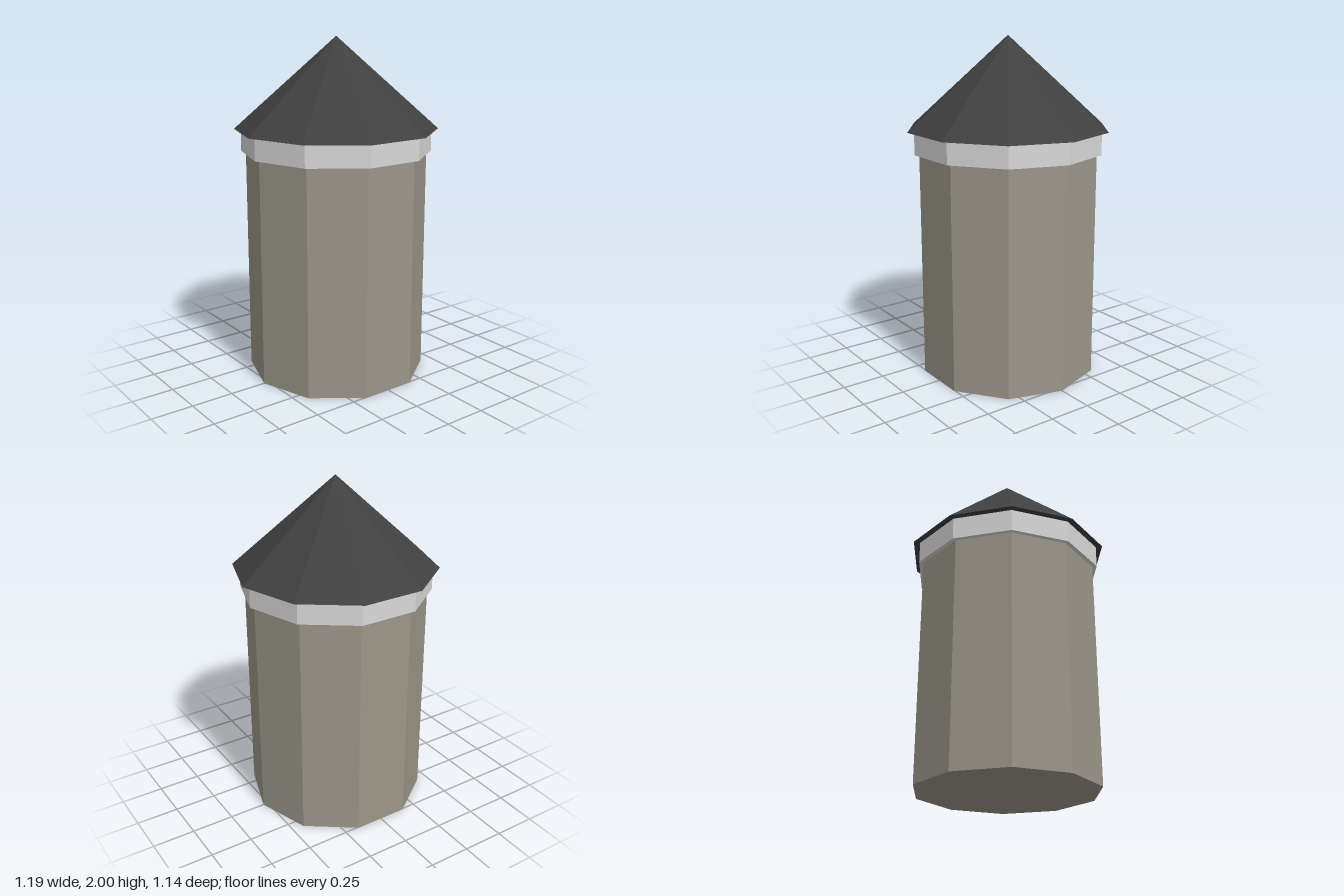
import * as THREE from 'three';

const SIDES = 10;

// Ten-sided section between two heights, with a corner on the x axis
function section(name, topRadius, bottomRadius, y0, y1, material) {
  const geometry = new THREE.CylinderGeometry(
    topRadius, bottomRadius, y1 - y0, SIDES, 1, false, Math.PI / SIDES);
  const mesh = new THREE.Mesh(geometry, material);
  mesh.name = name;
  mesh.position.y = (y0 + y1) / 2;
  return mesh;
}

function flatMaterial(name, color) {
  const material = new THREE.MeshStandardMaterial({ color, flatShading: true });
  material.name = name;
  return material;
}

export function createModel() {
  const stone = flatMaterial('stone', 0x9b9689);
  const trim = flatMaterial('pale trim', 0xd8d8d8);
  const slate = flatMaterial('dark slate', 0x404040);

  const tower = new THREE.Group();
  tower.name = 'tower';
  tower.add(
    section('wall', 0.531, 0.531, 0, 1.337, stone),
    section('cornice', 0.558, 0.558, 1.337, 1.468, trim),
    section('roof', 0, 0.597, 1.468, 2, slate),
  );
  return tower;
}
